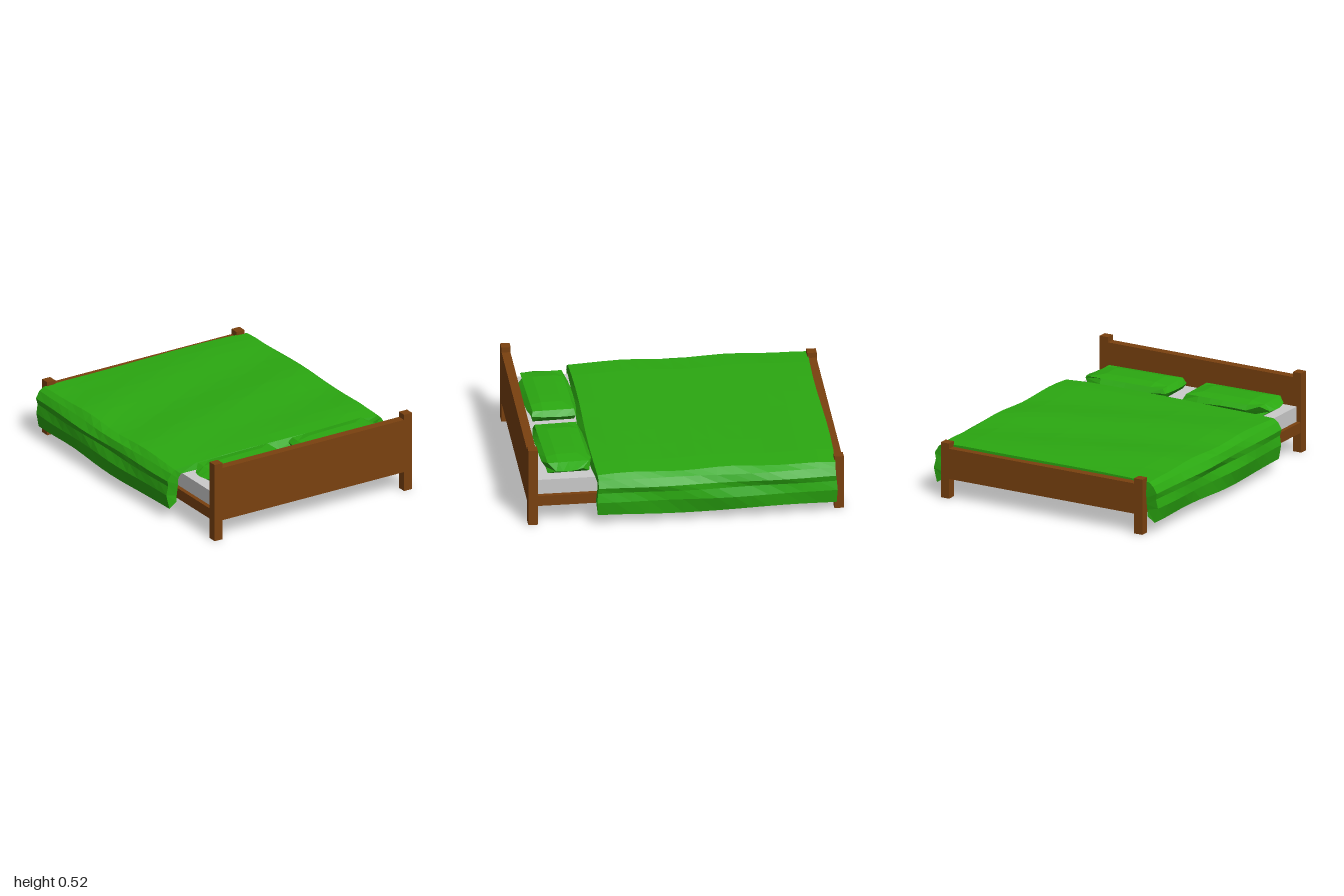
import * as THREE from 'three';

const wood = new THREE.MeshStandardMaterial({ color: 0x7a410f, flatShading: true });
const cloth = new THREE.MeshStandardMaterial({ color: 0x2ba811, flatShading: true });
const grey = new THREE.MeshStandardMaterial({ color: 0xcccccc, flatShading: true });

// Box given by its two opposite corners
function block(name, material, [x0, y0, z0], [x1, y1, z1]) {
  const mesh = new THREE.Mesh(new THREE.BoxGeometry(x1 - x0, y1 - y0, z1 - z0), material);
  mesh.position.set((x0 + x1) / 2, (y0 + y1) / 2, (z0 + z1) / 2);
  mesh.name = name;
  return mesh;
}

// Move every vertex of a geometry by a rule (v is changed in place)
function deform(geometry, rule) {
  const pos = geometry.attributes.position;
  const v = new THREE.Vector3();
  for (let i = 0; i < pos.count; i++) {
    rule(v.fromBufferAttribute(pos, i));
    pos.setXYZ(i, v.x, v.y, v.z);
  }
  geometry.computeVertexNormals();
  return geometry;
}

// Two posts with a board between them
function endPanel(name, zSide, postHeight, boardTop) {
  const panel = new THREE.Group();
  panel.name = name;
  const z0 = Math.min(zSide, zSide * 0.94), z1 = Math.max(zSide, zSide * 0.94);
  panel.add(block(name + 'Board', wood, [-0.68, 0.13, z0 + 0.002], [0.68, boardTop, z1 - 0.002]));
  for (const s of [-1, 1]) {
    panel.add(block(s > 0 ? 'leftPost' : 'rightPost', wood,
      [s * 0.71 - 0.03, 0, z0], [s * 0.71 + 0.03, postHeight, z1]));
  }
  return panel;
}

// Draped cover: a thick sheet bent along a half profile from centre to hem
function blanket() {
  const outer = [[0, 0.355], [0.2, 0.355], [0.4, 0.354], [0.6, 0.352], [0.76, 0.345],
    [0.79, 0.315], [0.818, 0.27], [0.808, 0.23], [0.82, 0.17], [0.8, 0.075]];
  const inner = [[0, 0.302], [0.2, 0.302], [0.4, 0.302], [0.6, 0.302], [0.72, 0.302],
    [0.737, 0.27], [0.738, 0.23], [0.74, 0.19], [0.742, 0.15], [0.745, 0.11]];
  const n = outer.length - 1;
  const geometry = deform(new THREE.BoxGeometry(2, 1, 2, 2 * n, 1, 14), (v) => {
    const i = Math.round(v.x * n), side = Math.sign(i), k = Math.abs(i), t = v.z;
    const isOuter = v.y > 0;
    const [px, py] = (isOuter ? outer : inner)[k];
    const middle = 1 - t * t;
    let x = px, y = py, z = -0.19 + 0.757 * t;
    if (isOuter) {
      if (k > 4) x += 0.013 * middle + 0.008 * Math.sin(t * 5 + k * 1.7 + side) * middle;
      if (k <= 4) y += 0.006 * Math.sin(t * 7 + i * 0.6) * (0.3 + middle) - 0.008 * t ** 8;
      if (k === n) y -= 0.012 * Math.sin((t + 0.1) * 3.5 + side * 0.3) * middle;
    } else if (k < 5 && t > 0.99) {
      z += 0.035 * (1 - k / 5);
    }
    if (Math.abs(t) > 0.99) z += 0.006 * Math.sin(i * 0.9) * Math.sign(t) * (k < n ? 1 : 0);
    v.set(side * x, y, z);
  });
  const mesh = new THREE.Mesh(geometry, cloth);
  mesh.name = 'blanket';
  return mesh;
}

// Soft cushion with a wide belt, a flat top and a tapered outer end
function pillow(side) {
  const geometry = deform(new THREE.BoxGeometry(2, 2, 2, 6, 2, 4), (v) => {
    const { x: a, y: b, z: c } = v;
    const belt = Math.abs(b) < 0.5;
    const edge = Math.abs(a) > 0.99 || Math.abs(c) > 0.99;
    let x = a * 0.265, z = c * 0.132;
    if (belt) {
      z = c * (0.152 + 0.01 * (1 - a * a));
      if (a > 0.99) {
        x = 0.335 - 0.02 * c * c;
        z = c * 0.085;
      } else if (a < -0.99) {
        x = -0.3 + 0.012 * c * c;
        z = c * 0.14;
      }
    }
    const y = belt ? 0.34 : b > 0 ? (edge ? 0.372 : 0.388 - 0.004 * a * a) : 0.301;
    v.set(x, y + (belt ? 0.006 * Math.sin(a * 3 + c) : 0), z);
  });
  const mesh = new THREE.Mesh(geometry, cloth);
  mesh.name = side > 0 ? 'leftPillow' : 'rightPillow';
  mesh.position.set(side * 0.355, 0, side > 0 ? 0.742 : 0.75);
  mesh.rotation.y = side > 0 ? 0.04 : Math.PI + 0.03;
  return mesh;
}

export function createModel() {
  const bed = new THREE.Group();
  bed.name = 'bed';
  // Frame and mattress
  bed.add(endPanel('headboard', 1, 0.525, 0.49));
  bed.add(endPanel('footboard', -1, 0.365, 0.33));
  bed.add(block('bedBase', wood, [-0.735, 0.13, -0.942], [0.735, 0.2, 0.942]));
  bed.add(block('mattress', grey, [-0.707, 0.2, -0.94], [0.707, 0.3, 0.94]));
  // Bedding
  bed.add(blanket(), pillow(1), pillow(-1));
  return bed;
}
